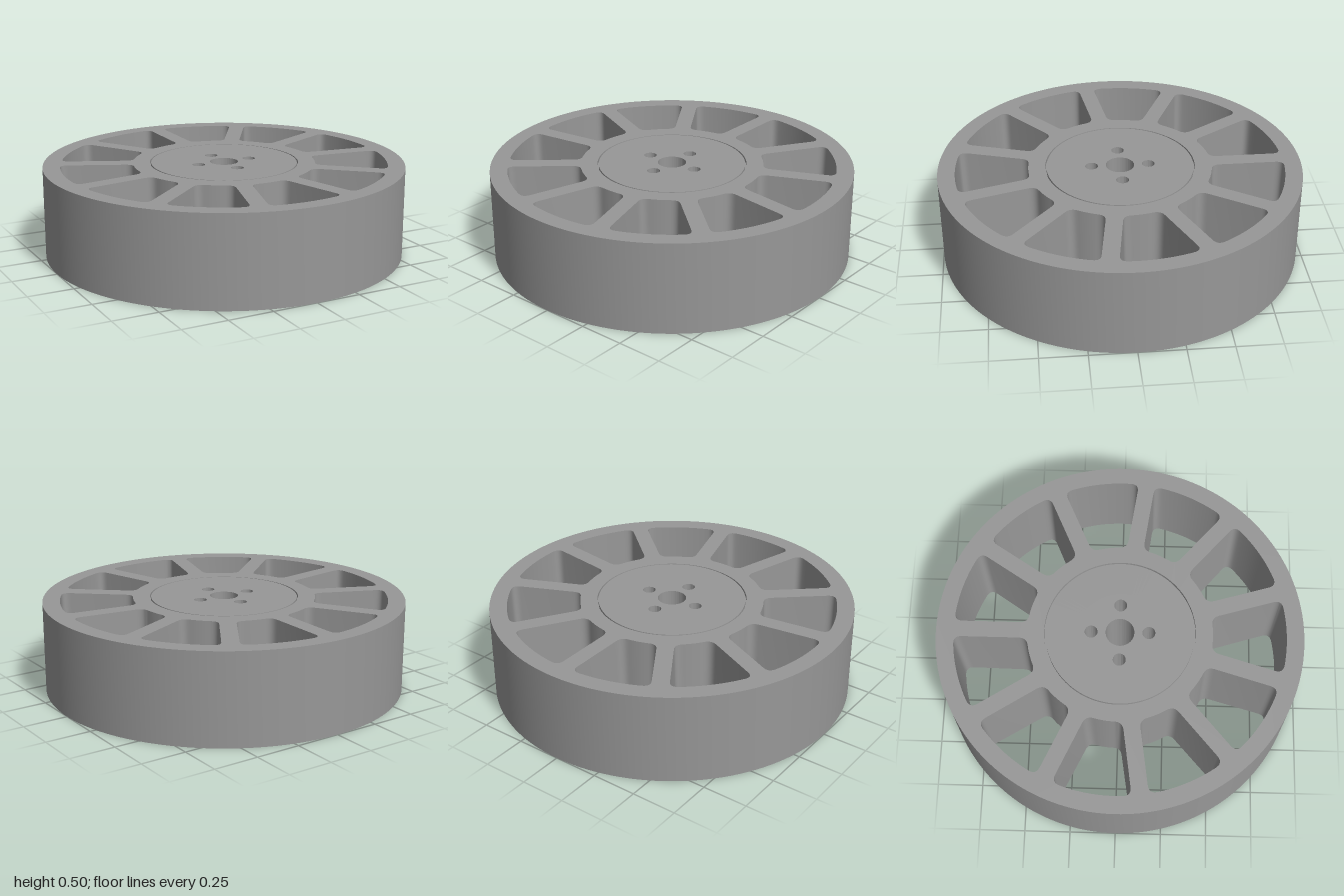
import * as THREE from 'three';
import { toCreasedNormals } from 'three/addons/utils/BufferGeometryUtils.js';

const SPOKES = 11, HEIGHT = 0.5;
const HALF_SPOKE = 0.045, WIN_IN = 0.505, WIN_OUT = 0.905, CORNER = 0.045, DRAFT = 0.008;
const HUB_R = 0.412, BOSS_R = 0.224, CEILING = 0.42;

const circle = (x, y, r, Type = THREE.Path) => new Type().absarc(x, y, r, 0, Math.PI * 2, false);
const polar = (r, a) => new THREE.Vector2(r * Math.cos(a), r * Math.sin(a));
const windowAngle = (i) => Math.PI / 2 + (2 * i + 1) * Math.PI / SPOKES;

// Extrude a flat shape upward from y = 0
function slab(shape) {
  const g = new THREE.ExtrudeGeometry(shape, { depth: HEIGHT, bevelEnabled: false, curveSegments: 96 });
  return g.rotateX(-Math.PI / 2);
}

// Opening between two spokes: parallel-sided spokes, rounded corners
function windowPath(mid) {
  const half = Math.PI / SPOKES;
  const edge = (r, s) => polar(r, mid + s * (half - Math.asin(HALF_SPOKE / r)));
  const along = (r, t) => polar(r, mid + t * (half - Math.asin(HALF_SPOKE / r) - CORNER / r));
  const round = (a, c, b) => new THREE.QuadraticBezierCurve(a, c, b).getPoints(6);
  const arc = (r, from, to) => Array.from({ length: 13 }, (_, i) => along(r, from + (to - from) * i / 12)).slice(1, -1);
  const pts = [
    ...round(edge(WIN_OUT - CORNER, -1), edge(WIN_OUT, -1), along(WIN_OUT, -1)),
    ...arc(WIN_OUT, -1, 1),
    ...round(along(WIN_OUT, 1), edge(WIN_OUT, 1), edge(WIN_OUT - CORNER, 1)),
    ...round(edge(WIN_IN + CORNER, 1), edge(WIN_IN, 1), along(WIN_IN, 1)),
    ...arc(WIN_IN, 1, -1),
    ...round(along(WIN_IN, -1), edge(WIN_IN, -1), edge(WIN_IN + CORNER, -1)),
  ];
  return new THREE.Path(pts);
}

// Narrow the openings toward the bottom so their walls slope slightly
function draftWindows(g) {
  const pos = g.attributes.position;
  const clamp = (v) => THREE.MathUtils.clamp(v, -1, 1);
  const step = 2 * Math.PI / SPOKES;
  for (let i = 0; i < pos.count; i++) {
    const p = new THREE.Vector2(pos.getX(i), -pos.getZ(i));
    const r = p.length();
    if (pos.getY(i) > HEIGHT / 2 || r < HUB_R + 0.02 || r > 0.98) continue;
    const mid = windowAngle(Math.round((p.angle() - windowAngle(0)) / step));
    const origin = new THREE.Vector2();
    p.rotateAround(origin, -mid);
    p.x -= DRAFT * clamp((p.x - 0.7) / 0.15);
    p.y -= DRAFT * clamp(p.y / 0.08);
    p.rotateAround(origin, mid);
    pos.setX(i, p.x);
    pos.setZ(i, -p.y);
  }
  return g;
}

export function createModel() {
  const model = new THREE.Group();
  model.name = 'spokedWheel';
  const material = new THREE.MeshStandardMaterial({ color: 0x979797 });
  const add = (name, geometry) => {
    const mesh = new THREE.Mesh(toCreasedNormals(geometry, 0.5), material);
    mesh.name = name;
    model.add(mesh);
  };

  // Rim, spokes and inner ring in one piece
  const body = circle(0, 0, 1, THREE.Shape);
  body.holes.push(circle(0, 0, HUB_R));
  for (let i = 0; i < SPOKES; i++) body.holes.push(windowPath(windowAngle(i)));
  add('rimAndSpokes', draftWindows(slab(body)));

  // Hub cup: top plate, shallow seam grooves and chamfered underside cavity
  const profile = [
    [BOSS_R, CEILING], [0.33, CEILING], [0.33, 0.012], [0.34, 0],
    [0.402, 0], [0.402, 0.02], [HUB_R, 0.02],
    [HUB_R, HEIGHT - 0.02], [0.405, HEIGHT - 0.02], [0.405, HEIGHT], [BOSS_R, HEIGHT],
  ].map(([r, y]) => new THREE.Vector2(r, y));
  add('hubCup', new THREE.LatheGeometry(profile, 96));

  // Central boss with axle bore and four bolt holes
  const boss = circle(0, 0, BOSS_R, THREE.Shape);
  boss.holes.push(circle(0, 0, 0.078));
  for (let i = 0; i < 4; i++) {
    const p = polar(0.157, i * Math.PI / 2);
    boss.holes.push(circle(p.x, p.y, 0.035));
  }
  add('hubBoss', slab(boss));

  // Three ribs joining boss and cup inside the cavity
  const ribBottom = 0.12;
  for (let i = 0; i < 3; i++) {
    const rib = new THREE.BoxGeometry(0.12, CEILING - ribBottom, 0.04);
    rib.translate(0.275, (CEILING + ribBottom) / 2, 0);
    add('hubRib' + (i + 1), rib.rotateY(Math.PI + i * Math.PI * 2 / 3));
  }
  return model;
}
